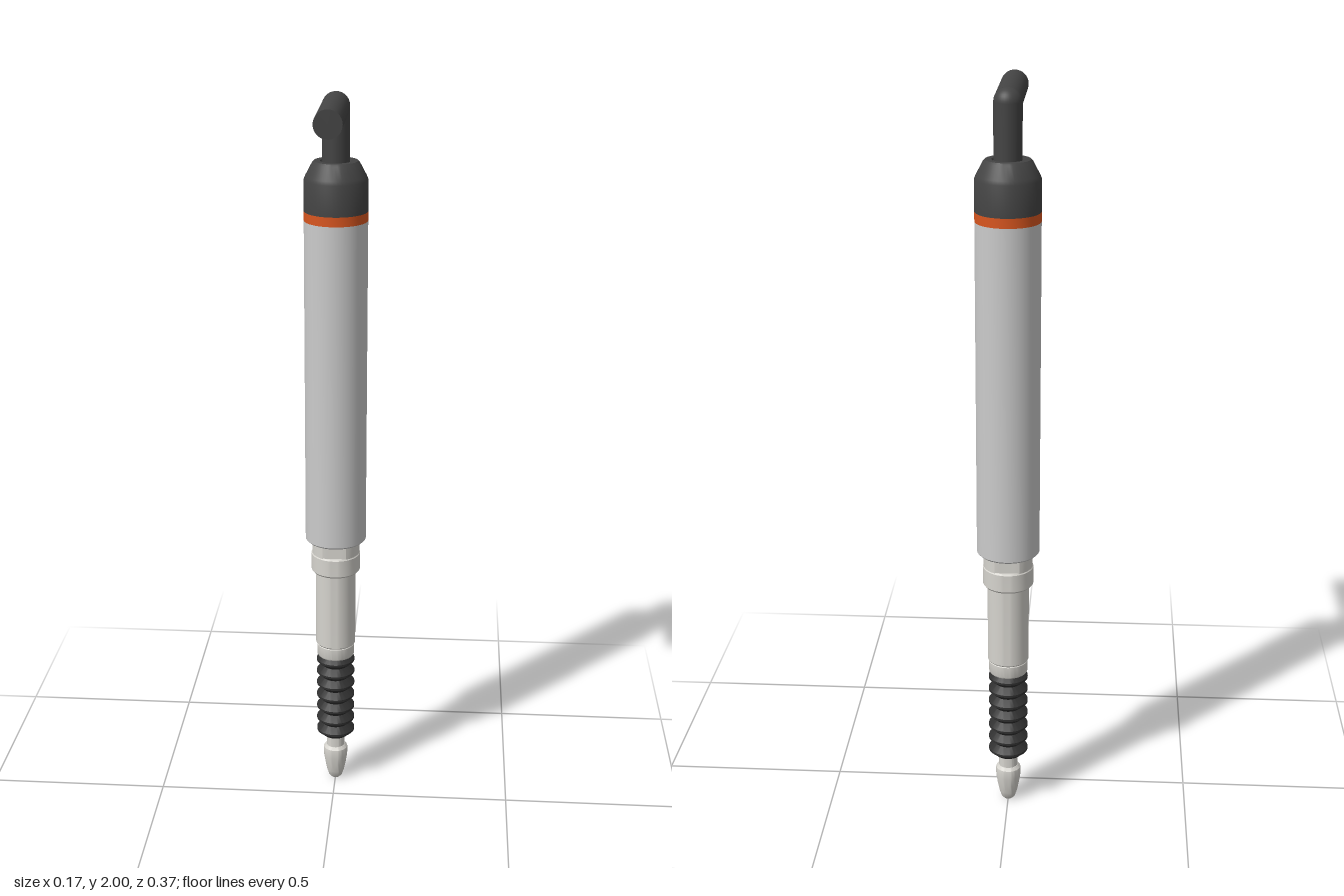
import * as THREE from 'three';
import { toCreasedNormals } from 'three/addons/utils/BufferGeometryUtils.js';

const AXIS_Z = -0.1;
const mat = (color) => new THREE.MeshStandardMaterial({ color });
const shell = mat(0xcccccc);
const steel = mat(0xd6d4ce);
const dark = mat(0x444444);
const rubber = mat(0x303030);
const orange = mat(0xd9561f);

export function createModel() {
  const group = new THREE.Group();

  const add = (name, geometry, material, y = 0, z = AXIS_Z) => {
    const mesh = new THREE.Mesh(geometry, material);
    mesh.name = name;
    mesh.position.set(0, y, z);
    group.add(mesh);
    return mesh;
  };
  // Turned part: [radius, height] pairs from bottom to top
  const turned = (name, profile, material, crease = 0.5) => {
    const points = profile.map(([r, y]) => new THREE.Vector2(r, y));
    return add(name, toCreasedNormals(new THREE.LatheGeometry(points, 48), crease), material);
  };

  // Contact tip and the thin rod above it
  turned('contactTip', [
    [0, 0], [0.012, 0], [0.019, 0.007], [0.025, 0.025], [0.03, 0.05], [0.034, 0.075],
    [0.035, 0.095], [0.034, 0.102], [0.027, 0.11], [0, 0.11],
  ], steel);
  turned('plungerRod', [[0, 0.105], [0.026, 0.105], [0.026, 0.16], [0, 0.16]], steel);

  // Rubber bellows with seven folds
  const folds = 7, low = 0.145, high = 0.41, pitch = (high - low) / folds;
  const bellows = [[0, low], [0.036, low]];
  for (let i = 0; i < folds; i++) {
    const y = low + i * pitch;
    bellows.push([0.054, y + pitch * 0.42], [0.054, y + pitch * 0.58], [0.036, y + pitch]);
  }
  bellows.push([0, high]);
  turned('bellows', bellows, rubber);

  // Sleeve with its lower retaining ring
  turned('retainingRing', [
    [0, 0.408], [0.051, 0.408], [0.053, 0.412], [0.053, 0.442], [0.05, 0.446], [0, 0.446],
  ], steel);
  turned('sleeve', [
    [0, 0.445], [0.053, 0.445], [0.056, 0.449], [0.056, 0.68], [0, 0.68],
  ], steel);

  // Collar and the neck with two wrench flats
  turned('collar', [
    [0, 0.673], [0.064, 0.673], [0.068, 0.678], [0.068, 0.726], [0.065, 0.73], [0, 0.73],
  ], steel);
  const neck = new THREE.CylinderGeometry(0.066, 0.066, 0.05, 48);
  const p = neck.attributes.position;
  for (let i = 0; i < p.count; i++) p.setZ(i, THREE.MathUtils.clamp(p.getZ(i), -0.058, 0.058));
  add('neck', toCreasedNormals(neck, 0.3), steel, 0.75);

  // Main housing, colour band and end cap
  turned('housing', [
    [0, 0.768], [0.079, 0.768], [0.084, 0.773], [0.084, 1.67], [0, 1.67],
  ], shell);
  turned('colourBand', [[0, 1.67], [0.084, 1.67], [0.084, 1.695], [0, 1.695]], orange);
  turned('endCap', [
    [0, 1.695], [0.084, 1.695], [0.084, 1.776], [0.08, 1.786], [0.062, 1.82],
    [0.057, 1.825], [0.041, 1.825], [0.038, 1.82], [0, 1.82],
  ], dark);

  // Right-angle cable leaving toward the front
  const r = 0.036, bendY = 2 - r, end = 0.184;
  add('cableRiser', new THREE.CylinderGeometry(r, r, bendY - 1.8, 32), dark, (bendY + 1.8) / 2);
  add('cableElbow', new THREE.SphereGeometry(r, 32, 20), dark, bendY);
  const run = add('cableRun', new THREE.CylinderGeometry(r, r, end - AXIS_Z, 32), dark, bendY, (end + AXIS_Z) / 2);
  run.rotation.x = Math.PI / 2;

  return group;
}
